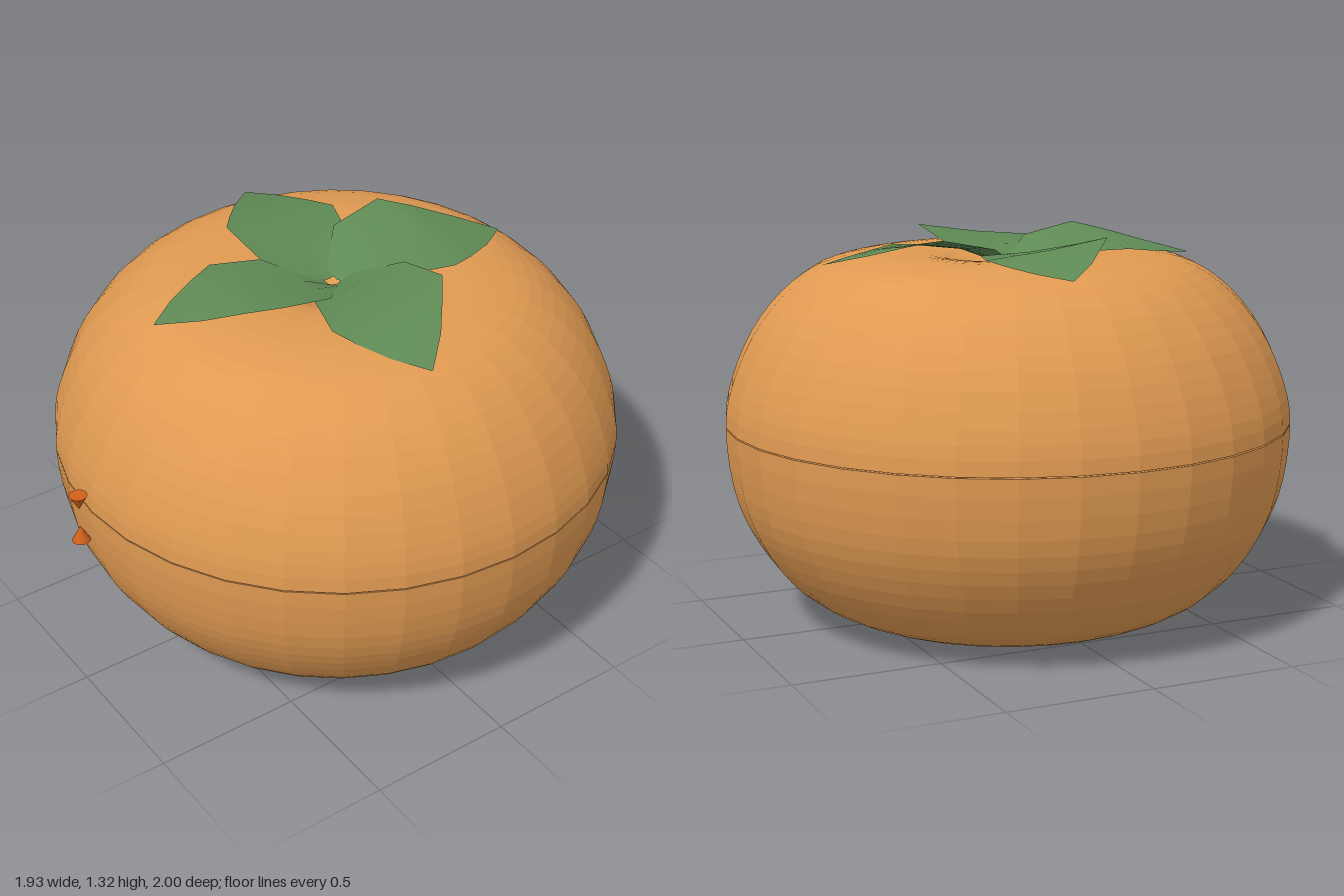
import * as THREE from 'three';

const CENTRE_X = -0.01, CENTRE_Z = -0.0375;

const material = (color, extra = {}) => new THREE.MeshStandardMaterial({ color, ...extra });

// Leaf built from cross-sections: [distance, left z, left y, middle y, right z, right y]
function leafGeometry() {
  const rows = [
    [0.02, -0.06, 1.22, 1.20, 0.05, 1.21],
    [0.14, -0.19, 1.28, 1.26, 0.17, 1.255],
    [0.33, -0.20, 1.318, 1.285, 0.235, 1.264],
    [0.42, -0.13, 1.295, 1.275, 0.205, 1.252],
    [0.53, -0.04, 1.26, 1.25, 0.155, 1.238],
    [0.64, 0.075, 1.226, 1.225, 0.08, 1.225],
  ];
  const positions = [], index = [];
  const across = 4;
  rows.forEach(([x, zl, yl, ym, zr, yr], i) => {
    for (let j = 0; j <= across; j++) {
      const t = j / across;
      const y = t < 0.5 ? yl + (ym - yl) * t * 2 : ym + (yr - ym) * (t * 2 - 1);
      positions.push(x, y, zl + (zr - zl) * t);
      if (i && j) {
        const d = i * (across + 1) + j, c = d - 1, b = d - across - 1, a = b - 1;
        index.push(a, b, d, a, d, c);
      }
    }
  });
  const geometry = new THREE.BufferGeometry();
  geometry.setAttribute('position', new THREE.Float32BufferAttribute(positions, 3));
  geometry.setIndex(index);
  geometry.computeVertexNormals();
  return geometry;
}

export function createModel() {
  const model = new THREE.Group();
  model.name = 'fruit';
  const add = (parent, name, geometry, mat) => {
    const mesh = new THREE.Mesh(geometry, mat);
    mesh.name = name;
    parent.add(mesh);
    return mesh;
  };

  // Fruit body: dimpled profile from the bottom to the top, parted at the seam
  const profile = [
    [0, 0.07], [0.1, 0.055], [0.22, 0.022], [0.38, 0.001], [0.52, 0.015], [0.67, 0.075],
    [0.79, 0.175], [0.89, 0.325], [0.945, 0.48], [0.965, 0.68],
    [0.94, 0.82], [0.87, 0.98], [0.765, 1.115], [0.64, 1.205], [0.5, 1.243],
    [0.37, 1.25], [0.22, 1.233], [0.1, 1.18], [0, 1.15],
  ].map(p => new THREE.Vector2(...p));
  const steps = 3, seam = 9 * steps, gap = 0.002;
  const points = new THREE.SplineCurve(profile).getPoints((profile.length - 1) * steps);
  points.forEach(p => { p.x = Math.max(p.x, 0); p.y = Math.max(p.y, 0); });

  const skin = material(0xe09a52, { flatShading: true });
  const body = new THREE.Group();
  body.name = 'body';
  body.position.set(CENTRE_X + 0.01, 0, CENTRE_Z);
  model.add(body);
  const rim = points[seam];
  const lower = [...points.slice(0, seam),
    new THREE.Vector2(rim.x, rim.y - gap), new THREE.Vector2(0, rim.y - gap)];
  const upper = [new THREE.Vector2(0, rim.y + gap), new THREE.Vector2(rim.x, rim.y + gap),
    ...points.slice(seam + 1)];
  add(body, 'lowerHalf', new THREE.LatheGeometry(lower, 32), skin);
  add(body, 'upperHalf', new THREE.LatheGeometry(upper, 32), skin);

  // Four leaves of the calyx
  const calyx = new THREE.Group();
  calyx.name = 'calyx';
  calyx.position.set(CENTRE_X - 0.01, 0, CENTRE_Z);
  model.add(calyx);
  const leaf = leafGeometry();
  const green = material(0x5f8a55, { side: THREE.DoubleSide });
  for (let i = 0; i < 4; i++) {
    add(calyx, 'leaf' + (i + 1), leaf, green).rotation.y = i * Math.PI / 2;
  }

  // Pair of small cones facing each other in front of the seam
  const cone = new THREE.ConeGeometry(0.03, 0.056, 32);
  const coneMaterial = material(0xd0601a);
  const upperCone = add(model, 'upperCone', cone, coneMaterial);
  upperCone.position.set(-0.007, 0.734, 0.968);
  upperCone.rotation.x = Math.PI;
  add(model, 'lowerCone', cone, coneMaterial).position.set(-0.01, 0.608, 0.968);

  return model;
}
